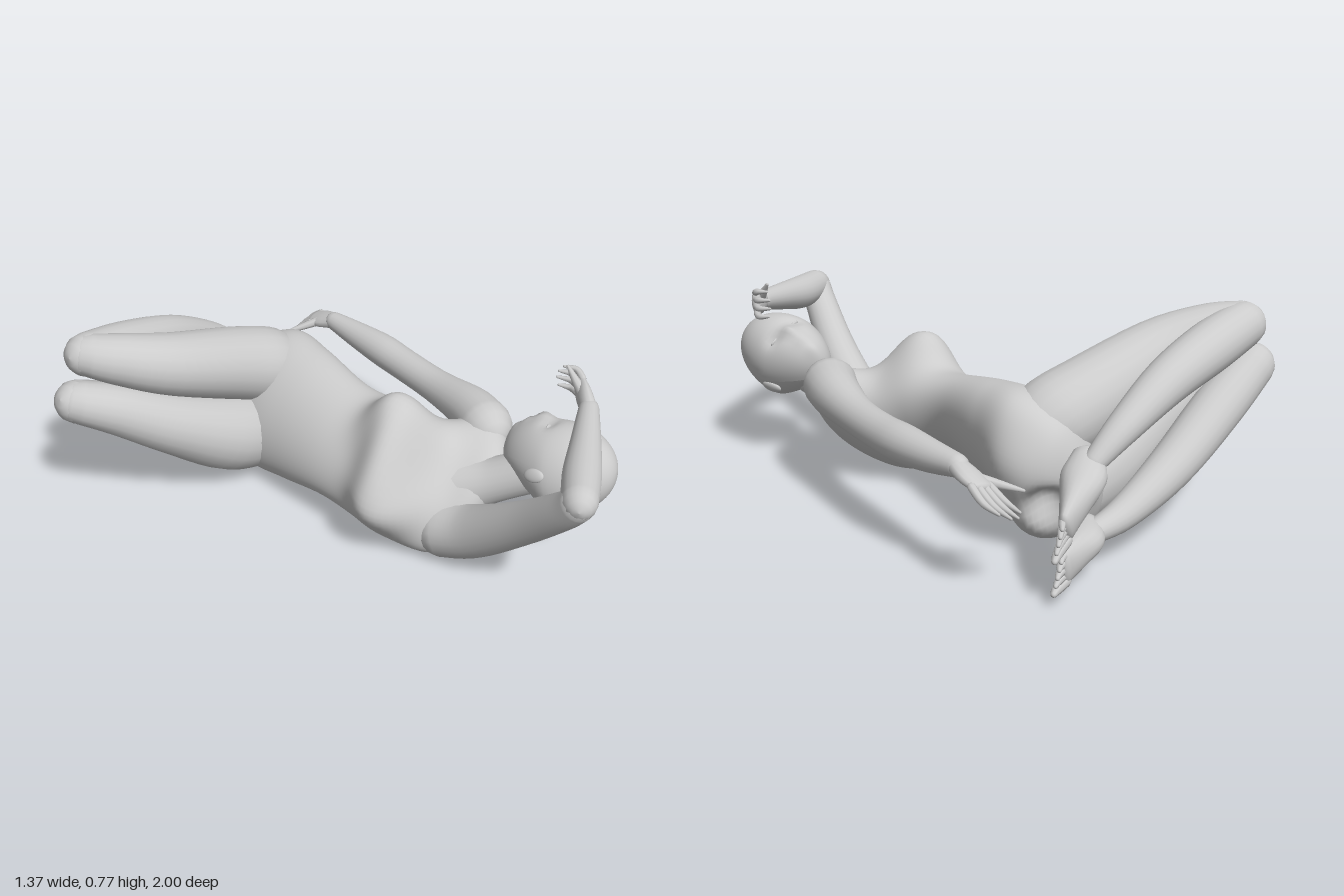
import * as THREE from 'three';

const skin = new THREE.MeshStandardMaterial({ color: 0xcccccc, side: THREE.DoubleSide });
const V = (x, y, z) => new THREE.Vector3(x, y, z);

// Catmull-Rom through rows of numbers (position and radii together)
function spline(rows, t) {
  const f = t * (rows.length - 1), i = Math.min(Math.floor(f), rows.length - 2), u = f - i;
  const at = k => rows[Math.max(0, Math.min(rows.length - 1, k))];
  const [a, b, c, d] = [at(i - 1), at(i), at(i + 1), at(i + 2)];
  return b.map((_, k) => b[k] + 0.5 * u * (c[k] - a[k] + u * (2 * a[k] - 5 * b[k] + 4 * c[k] - d[k]
    + u * (3 * (b[k] - c[k]) + d[k] - a[k]))));
}

// Closed skin over a list of rings of points
function loft(name, rings) {
  const n = rings[0].length, pos = [], idx = [];
  rings.forEach(r => r.forEach(p => pos.push(p.x, p.y, p.z)));
  for (let i = 0; i < rings.length - 1; i++) {
    for (let j = 0; j < n; j++) {
      const a = i * n + j, b = i * n + (j + 1) % n;
      idx.push(a, b, a + n, b, b + n, a + n);
    }
  }
  const g = new THREE.BufferGeometry();
  g.setAttribute('position', new THREE.Float32BufferAttribute(pos, 3));
  g.setIndex(idx);
  g.computeVertexNormals();
  const m = new THREE.Mesh(g, skin);
  m.name = name;
  return m;
}

const ring = (c, N, B, a, b, n) => Array.from({ length: n }, (_, j) => {
  const q = j / n * Math.PI * 2;
  return c.clone().addScaledVector(N, a * Math.cos(q)).addScaledVector(B, b * Math.sin(q));
});

// Round-ended limb; rows are [x, y, z, radius along wide, other radius]
function limb(name, rows, wide = V(0.1, 1, 0.1), sides = 20, steps = 20) {
  rows = rows.map(r => r.length < 5 ? [...r, r[3]] : r);
  const rings = [];
  const add = (t, shift, k) => {
    const r = spline(rows, t), p = spline(rows, Math.max(0, t - 0.01)), q = spline(rows, Math.min(1, t + 0.01));
    const T = V(q[0] - p[0], q[1] - p[1], q[2] - p[2]).normalize();
    const N = wide.clone().addScaledVector(T, -wide.dot(T)).normalize();
    const B = T.clone().cross(N);
    const c = V(r[0], r[1], r[2]).addScaledVector(T, shift * Math.min(r[3], r[4]));
    rings.push(ring(c, N, B, r[3] * k, r[4] * k, sides));
  };
  const caps = [0.001, 0.35, 0.65, 0.9];
  caps.forEach(k => add(0, -Math.sqrt(1 - k * k), k));
  for (let i = 0; i <= steps; i++) add(i / steps, 0, 1);
  caps.reverse().forEach(k => add(1, Math.sqrt(1 - k * k), k));
  return loft(name, rings);
}

function ellipsoid(name, p, s, angle = 0) {
  const m = new THREE.Mesh(new THREE.SphereGeometry(1, 20, 14), skin);
  m.name = name;
  m.position.set(...p);
  m.scale.set(...s);
  m.rotation.z = angle;
  return m;
}

function group(name, ...parts) {
  const g = new THREE.Group();
  g.name = name;
  return g.add(...parts);
}

// Palm, four bent fingers and a thumb
function hand(name, wrist, end, wide, dir, curl, thumb) {
  const mid = wrist.clone().lerp(end, 0.55);
  const g = group(name, limb('palm', [[...wrist, 0.036, 0.03], [...mid, 0.05, 0.026], [...end, 0.046, 0.018]], wide, 14, 8));
  for (let i = 0; i < 4; i++) {
    const a = end.clone().addScaledVector(wide, (i - 1.5) * 0.026);
    const long = i === 0 || i === 3 ? 0.85 : 1;
    const b = a.clone().addScaledVector(dir, long).addScaledVector(wide, (i - 1.5) * 0.006);
    const c = b.clone().addScaledVector(curl, long);
    g.add(limb('finger', [[...a, 0.014], [...b, 0.012], [...c, 0.005]], wide, 8, 8));
  }
  g.add(limb('thumb', [[...mid, 0.022], [...mid.clone().lerp(thumb, 0.55), 0.015], [...thumb, 0.006]], wide, 8, 8));
  return g;
}

// Foot from heel to toes, broad in the upright direction
function foot(name, y0, y1) {
  const at = t => y0 + (y1 - y0) * t;
  const g = group(name, limb('sole', [
    [0.235, at(0), -0.845, 0.046, 0.056], [0.3, at(0.2), -0.885, 0.054, 0.075],
    [0.38, at(0.5), -0.918, 0.062, 0.05], [0.455, at(0.78), -0.947, 0.062, 0.024]], V(0, 1, 0), 18, 14));
  for (let i = 0; i < 5; i++) {
    const k = (i - 2) * 0.024, len = 0.065 - 0.008 * i, r = i === 0 ? 0.018 : 0.013;
    g.add(limb('toe', [[0.45, at(0.78) + k, -0.947, r], [0.465 + len * 0.5, at(0.9) + k, -0.954, r],
      [0.465 + len, at(1) + k, -0.966, r * 0.6]], V(0, 1, 0), 8, 6));
  }
  return g;
}

function makeHead() {
  const g = new THREE.SphereGeometry(1, 48, 36), p = g.attributes.position;
  const bump = (x, y, cx, cy, wx, wy) => Math.exp(-(((x - cx) / wx) ** 2) - (((y - cy) / wy) ** 2));
  for (let i = 0; i < p.count; i++) {
    const x = p.getX(i), y = p.getY(i);
    let z = p.getZ(i), d = 0;
    const low = Math.max(0, -y - 0.05);
    // nose, lips, chin and eye hollows
    if (z > 0) {
      d = 0.13 * bump(x, y, 0, -0.32, 0.14, 0.17) + 0.06 * bump(x, y, 0, -0.6, 0.22, 0.08)
        + 0.1 * bump(x, y, 0, -0.85, 0.25, 0.14)
        - 0.1 * (bump(x, y, 0.38, -0.12, 0.2, 0.12) + bump(x, y, -0.38, -0.12, 0.2, 0.12));
    }
    z = z < 0 ? z * (1 - 0.55 * low) : z;
    p.setXYZ(i, x * (1 - 0.24 * low) * 0.15, y * 0.218, (z + d + 0.22 * low) * 0.172);
  }
  g.computeVertexNormals();
  const skull = new THREE.Mesh(g, skin);
  skull.name = 'skull';
  const head = group('head', skull);
  for (const s of [-1, 1]) {
    head.add(ellipsoid('ear', [s * 0.142, -0.035, -0.03], [0.013, 0.042, 0.026], s * -0.2));
    head.add(ellipsoid('eye', [s * 0.052, -0.026, 0.141], [0.024, 0.006, 0.012]));
  }
  // crown points along +z, face upwards
  const Z = V(0.45, 0.85, -0.25).normalize(), Y = V(0.12, 0.22, 0.96);
  Y.addScaledVector(Z, -Y.dot(Z)).normalize();
  head.quaternion.setFromRotationMatrix(new THREE.Matrix4().makeBasis(Y.clone().cross(Z), Y, Z));
  head.position.set(0.235, 0.414, 0.674);
  return head;
}

function makeTorso() {
  // rows: z, centre x, centre y, half width, half depth, tilt in degrees
  const rows = [
    [-0.79, 0.15, 0.26, 0.09, 0.05, 60], [-0.73, 0.15, 0.265, 0.22, 0.135, 60], [-0.58, 0.145, 0.28, 0.29, 0.18, 59],
    [-0.4, 0.105, 0.29, 0.272, 0.168, 57], [-0.17, 0.05, 0.295, 0.232, 0.137, 50], [0.0, 0.05, 0.27, 0.235, 0.15, 46],
    [0.15, 0.08, 0.222, 0.245, 0.165, 42], [0.32, 0.145, 0.232, 0.285, 0.135, 42], [0.41, 0.16, 0.255, 0.2, 0.105, 42],
    [0.47, 0.17, 0.29, 0.07, 0.06, 42]];
  // breasts, buttocks and the cleft between them: centre, push, spread
  const swells = [
    [V(-0.11, 0.27, 0.165), V(-0.125, 0.015, 0), 0.14], [V(0.045, 0.41, 0.105), V(-0.01, 0.168, 0), 0.135],
    [V(0.24, 0.09, -0.64), V(0.045, -0.03, -0.015), 0.12], [V(0.34, 0.3, -0.62), V(0.035, -0.015, -0.015), 0.13],
    [V(0.28, 0.2, -0.72), V(-0.05, 0.03, 0.03), 0.06]];
  const swell = p => {
    const out = p.clone();
    swells.forEach(([c, push, w]) => out.addScaledVector(push, Math.exp(-((p.distanceTo(c) / w) ** 2.6))));
    return out;
  };
  const rings = [];
  for (let i = 0; i <= 80; i++) {
    const [z, x, y, a, b, deg] = spline(rows, i / 80), q = deg * Math.PI / 180;
    const S = V(Math.cos(q), Math.sin(q), 0), N = V(-Math.sin(q), Math.cos(q), 0);
    rings.push(ring(V(x, y, z), S, N, a, b, 64).map(swell));
  }
  rings.unshift(rings[0].map(() => V(0.15, 0.26, -0.8)));
  rings.push(rings[80].map(() => V(0.17, 0.29, 0.475)));
  return loft('torso', rings);
}

export function createModel() {
  const raisedArm = group('raisedArm',
    limb('upperArm', [[0.01, 0.12, 0.335, 0.115], [-0.005, 0.178, 0.48, 0.1], [-0.055, 0.355, 0.7, 0.079],
      [-0.11, 0.52, 0.87, 0.066], [-0.13, 0.59, 0.93, 0.062]], V(1, 0, 0)),
    limb('forearm', [[-0.13, 0.6, 0.935, 0.062], [0, 0.6, 0.873, 0.067], [0.15, 0.62, 0.805, 0.054], [0.31, 0.645, 0.73, 0.037]]),
    hand('raisedHand', V(0.31, 0.645, 0.73), V(0.4, 0.665, 0.645), V(-0.1, 0.95, 0.2),
      V(0.025, 0.005, -0.045), V(-0.015, 0.005, -0.05), V(0.38, 0.74, 0.6)));
  const loweredArm = group('loweredArm',
    limb('arm', [[0.325, 0.395, 0.31, 0.102], [0.39, 0.395, 0.2, 0.091], [0.465, 0.38, 0, 0.069], [0.525, 0.38, -0.2, 0.066],
      [0.56, 0.387, -0.34, 0.067], [0.59, 0.395, -0.5, 0.054], [0.61, 0.405, -0.63, 0.039]]),
    hand('loweredHand', V(0.61, 0.405, -0.63), V(0.63, 0.375, -0.75), V(0.95, 0.2, 0.05),
      V(-0.005, -0.045, -0.06), V(-0.04, -0.045, -0.04), V(0.5, 0.34, -0.81)));

  const upperLeg = group('upperLeg',
    limb('thigh', [[0.26, 0.36, -0.58, 0.1], [0.15, 0.425, -0.61, 0.148], [0, 0.49, -0.655, 0.146], [-0.28, 0.6, -0.725, 0.122],
      [-0.44, 0.665, -0.82, 0.1], [-0.52, 0.695, -0.9, 0.083]]),
    limb('calf', [[-0.525, 0.695, -0.915, 0.083], [-0.34, 0.65, -0.908, 0.091], [-0.1, 0.58, -0.905, 0.08],
      [0.12, 0.475, -0.9, 0.058], [0.25, 0.385, -0.885, 0.038]]),
    foot('upperFoot', 0.38, 0.21));
  const lowerLeg = group('lowerLeg',
    limb('thigh', [[0.09, 0.165, -0.6, 0.155], [-0.1, 0.23, -0.635, 0.16], [-0.32, 0.36, -0.705, 0.125],
      [-0.5, 0.48, -0.81, 0.1], [-0.6, 0.53, -0.9, 0.083]]),
    limb('calf', [[-0.605, 0.53, -0.915, 0.083], [-0.42, 0.42, -0.908, 0.091], [-0.15, 0.27, -0.908, 0.08],
      [0.1, 0.17, -0.9, 0.056], [0.25, 0.14, -0.885, 0.038]]),
    foot('lowerFoot', 0.145, 0.1));

  const neck = limb('neck', [[0.14, 0.25, 0.34, 0.12], [0.165, 0.3, 0.45, 0.088], [0.21, 0.37, 0.58, 0.084]]);
  return group('recliningFigure', makeTorso(), neck, makeHead(), raisedArm, loweredArm, upperLeg, lowerLeg);
}
